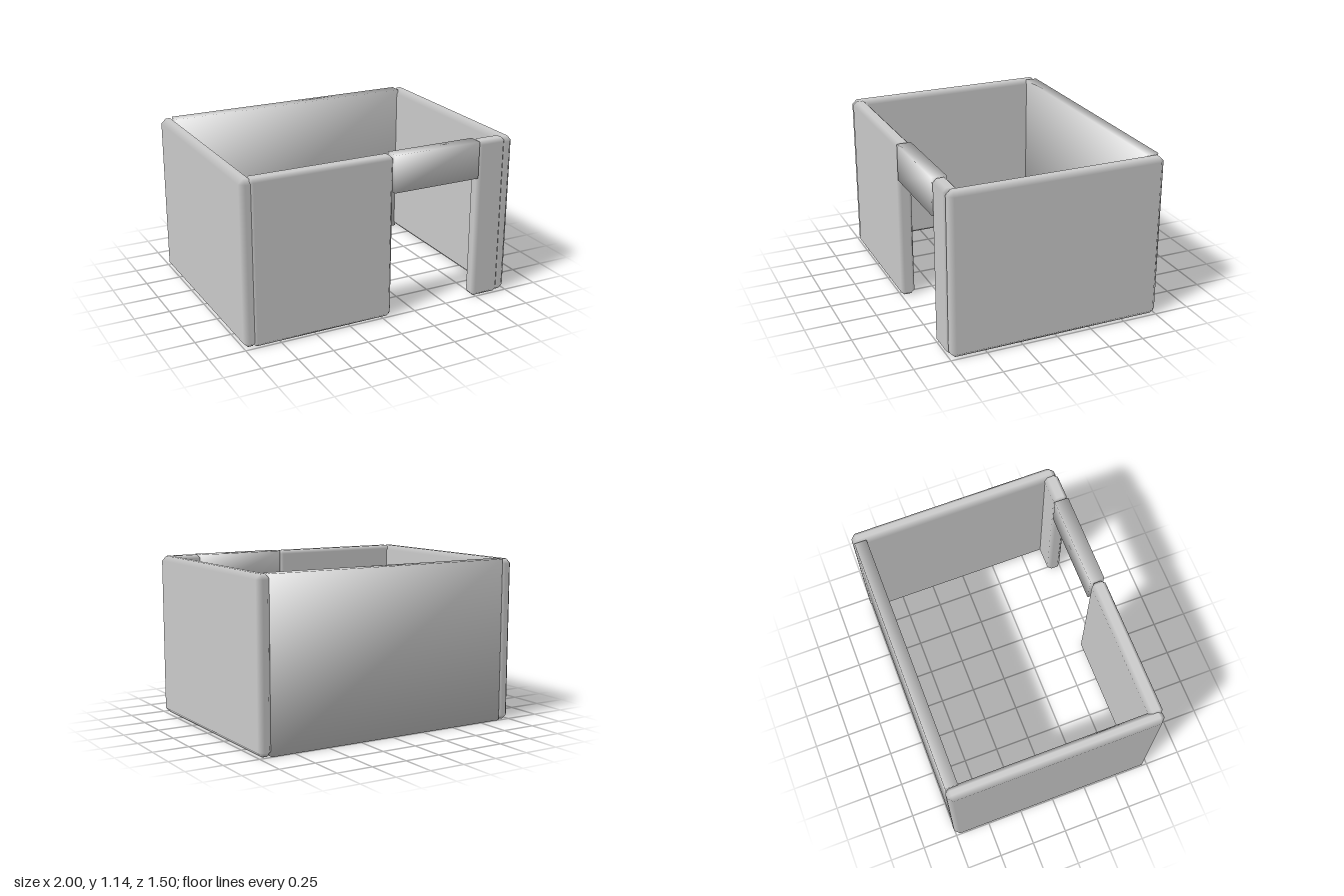
import * as THREE from 'three';
import { ConvexGeometry } from 'three/addons/geometries/ConvexGeometry.js';

// Chamfered panel: flat main faces, bevels shaded smoothly between them
function chamferedGeometry(w, h, d, c) {
  const half = [w / 2, h / 2, d / 2];
  const points = [], normals = [];
  for (const sx of [-1, 1]) for (const sy of [-1, 1]) for (const sz of [-1, 1]) {
    const s = [sx, sy, sz];
    for (let axis = 0; axis < 3; axis++) {
      points.push(new THREE.Vector3(...s.map((v, i) => v * (half[i] - (i === axis ? 0 : c)))));
      normals.push(new THREE.Vector3().setComponent(axis, s[axis]));
    }
  }
  const geo = new ConvexGeometry(points);
  const pos = geo.attributes.position, p = new THREE.Vector3();
  for (let i = 0; i < pos.count; i++) {
    p.fromBufferAttribute(pos, i);
    const k = points.findIndex((q) => q.distanceToSquared(p) < 1e-10);
    geo.attributes.normal.setXYZ(i, normals[k].x, normals[k].y, normals[k].z);
  }
  return geo;
}

// Square-edged panel with normals averaged across its corners
function softBoxGeometry(w, h, d) {
  const geo = new THREE.BoxGeometry(w, h, d);
  const pos = geo.attributes.position, n = 1 / Math.sqrt(3);
  for (let i = 0; i < pos.count; i++) {
    geo.attributes.normal.setXYZ(i, Math.sign(pos.getX(i)) * n, Math.sign(pos.getY(i)) * n, Math.sign(pos.getZ(i)) * n);
  }
  return geo;
}

export function createModel() {
  const group = new THREE.Group();
  const grey = new THREE.MeshStandardMaterial({ color: 0xcccccc });
  grey.name = 'light grey';

  // Adds a panel spanning the given ranges; chamfer 0 means square edges
  function addPanel(name, [x0, x1], [y0, y1], [z0, z1], chamfer) {
    const size = [x1 - x0, y1 - y0, z1 - z0];
    const geo = chamfer ? chamferedGeometry(...size, chamfer) : softBoxGeometry(...size);
    const mesh = new THREE.Mesh(geo, grey);
    mesh.name = name;
    mesh.position.set((x0 + x1) / 2, (y0 + y1) / 2, (z0 + z1) / 2);
    group.add(mesh);
  }

  const top = 1.143;
  const frontZ = [0.65, 0.75];

  // Side walls
  addPanel('rightWall', [-1, -0.902], [0, top], [-0.755, 0.742], 0.033);
  addPanel('leftWall', [0.902, 1], [0, top], [-0.755, 0.742], 0.033);

  // Back wall
  addPanel('backWall', [-0.912, 0.912], [0, top], [-0.747, -0.66], 0);

  // Front wall on both sides of the doorway, and the lintel above it
  addPanel('frontWallWide', [-0.94, 0.067], [0, top], frontZ, 0.025);
  addPanel('frontWallNarrow', [0.718, 0.935], [0, top], frontZ, 0.025);
  addPanel('doorLintel', [0.073, 0.72], [0.885, top], frontZ, 0);

  return group;
}
